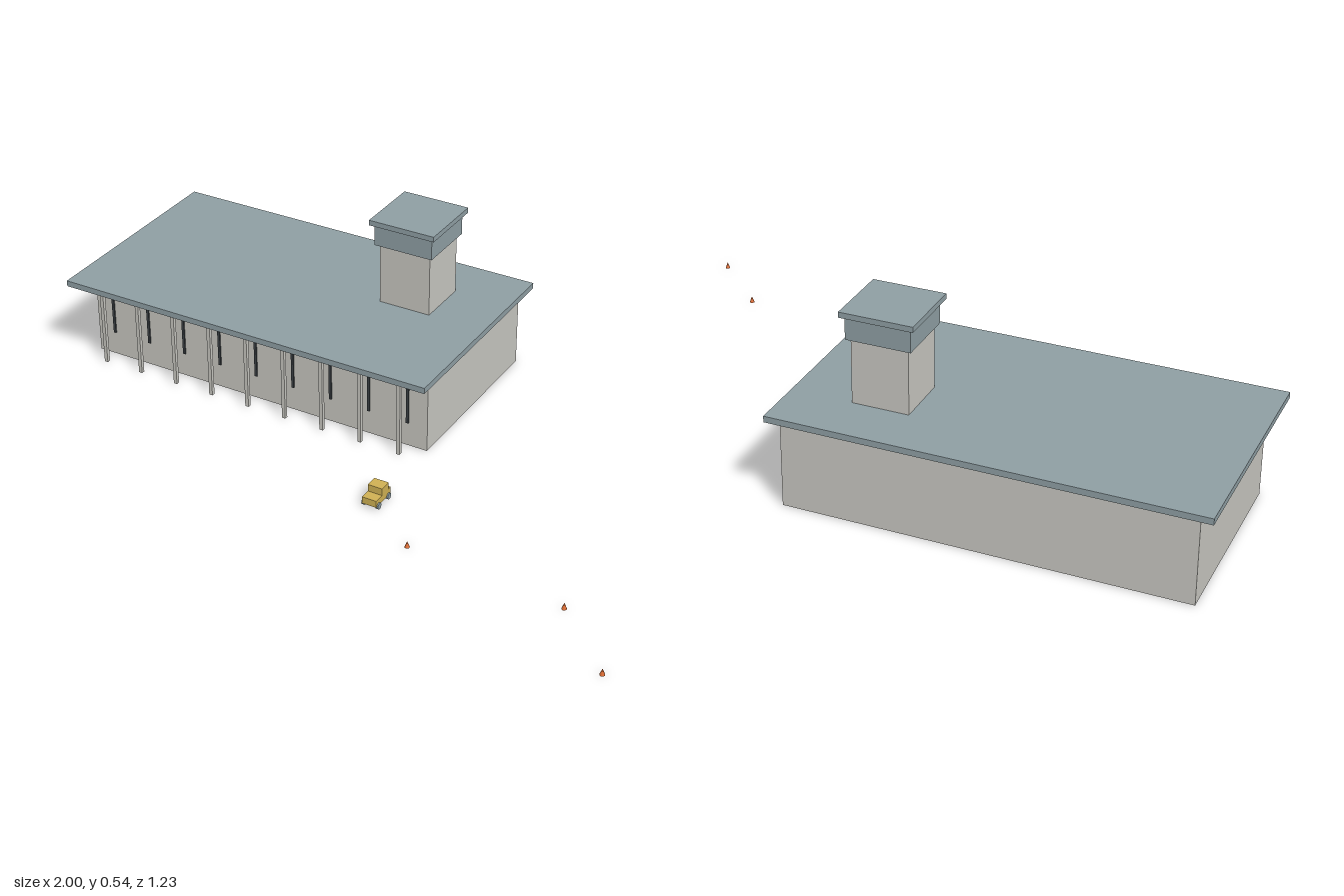
import * as THREE from 'three';

const mat = (name, color) => {
  const m = new THREE.MeshStandardMaterial({ color });
  m.name = name;
  return m;
};

export function createModel() {
  const wall = mat('concrete', 0xc8c7c1);
  const slate = mat('slate blue', 0x8f9fa4);
  const dark = mat('dark trim', 0x3a4044);
  const yellow = mat('truck yellow', 0xd0b254);
  const orange = mat('cone orange', 0xd8692f);

  const model = new THREE.Group();
  model.name = 'terminal';

  // Box given by its minimum and maximum on each axis
  const box = (parent, name, material, [x0, x1], [y0, y1], [z0, z1]) => {
    const mesh = new THREE.Mesh(new THREE.BoxGeometry(x1 - x0, y1 - y0, z1 - z0), material);
    mesh.position.set((x0 + x1) / 2, (y0 + y1) / 2, (z0 + z1) / 2);
    mesh.name = name;
    parent.add(mesh);
    return mesh;
  };

  // Main hall with overhanging flat roof
  box(model, 'hall', wall, [-0.963, 0.163], [0, 0.251], [-0.594, -0.033]);
  box(model, 'roof', slate, [-1, 0.2], [0.251, 0.269], [-0.613, 0.058]);

  // Control tower: shaft, cabin and cap share one centre
  const tower = new THREE.Group();
  tower.name = 'tower';
  tower.position.set(-0.058, 0, -0.376);
  model.add(tower);
  for (const [name, material, half, y] of [
    ['towerShaft', wall, 0.081, [0.269, 0.456]],
    ['towerCabin', slate, 0.092, [0.456, 0.522]],
    ['towerCap', slate, 0.104, [0.522, 0.538]],
  ]) box(tower, name, material, [-half, half], y, [-half, half]);

  // Colonnade under the front eave, with a slim wall strip behind each post
  for (let i = 0; i < 9; i++) {
    const x = -0.904 + i * 0.1255;
    box(model, 'post', wall, [x - 0.0055, x + 0.0055], [0, 0.251], [0.012, 0.023]);
    box(model, 'wallStrip', dark, [x - 0.004, x + 0.004], [0.075, 0.188], [-0.033, -0.029]);
  }

  // Service truck
  const truck = new THREE.Group();
  truck.name = 'truck';
  truck.position.set(0.16, 0, 0.25);
  model.add(truck);
  box(truck, 'truckBody', yellow, [-0.022, 0.022], [0.01, 0.031], [-0.04, 0.039]);
  box(truck, 'truckCab', yellow, [-0.022, 0.022], [0.031, 0.052], [-0.029, 0.007]);
  const wheelGeo = new THREE.CylinderGeometry(0.0095, 0.0095, 0.008, 12).rotateZ(Math.PI / 2);
  for (const x of [-0.022, 0.022]) for (const z of [-0.027, 0.027]) {
    const wheel = new THREE.Mesh(wheelGeo, slate);
    wheel.name = 'wheel';
    wheel.position.set(x, 0.0095, z);
    truck.add(wheel);
  }

  // Marker cones on the apron
  const coneGeo = new THREE.ConeGeometry(0.0075, 0.019, 8);
  for (const [x, z] of [[0.333, 0.39], [0.802, 0.421], [0.991, 0.607]]) {
    const cone = new THREE.Mesh(coneGeo, orange);
    cone.name = 'markerCone';
    cone.position.set(x, 0.0095, z);
    model.add(cone);
  }

  return model;
}
